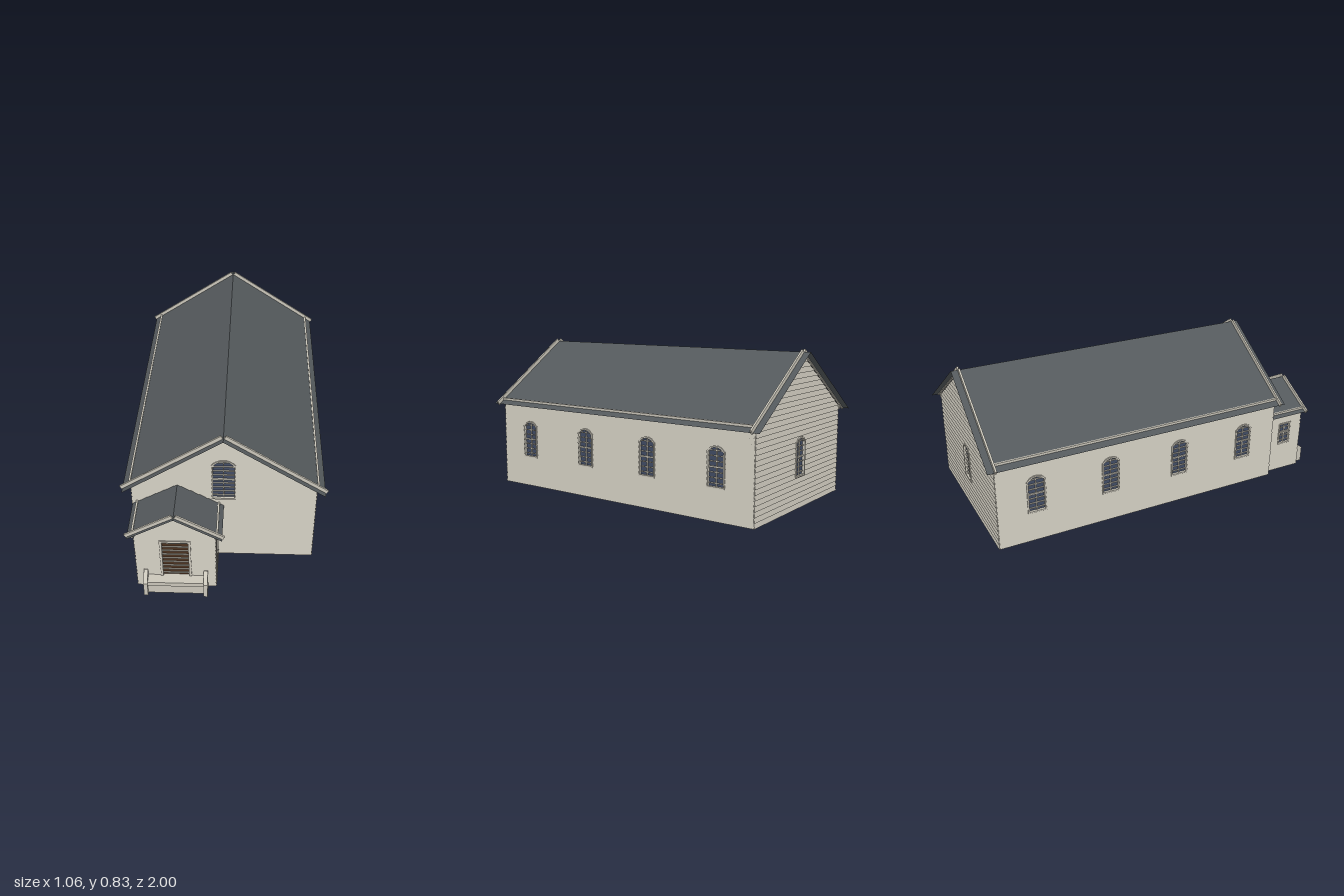
import * as THREE from 'three';

const siding = new THREE.MeshStandardMaterial({ name: 'stone white paint', color: 0xcac6ba });
const slate = new THREE.MeshStandardMaterial({ name: 'slate grey roof', color: 0x54595c, side: THREE.DoubleSide });
const glassBlue = new THREE.MeshStandardMaterial({ name: 'blue glass', color: 0x414c64, side: THREE.DoubleSide });
const doorBrown = new THREE.MeshStandardMaterial({ name: 'brown door', color: 0x4b3220, side: THREE.DoubleSide });

const PITCH = 0.027, LAP = 0.005, THICK = 0.012, BASE = 0.013;

function add(parent, name, geometry, material, x = 0, y = 0, z = 0) {
  const mesh = new THREE.Mesh(geometry, material);
  mesh.name = name;
  mesh.position.set(x, y, z);
  parent.add(mesh);
  return mesh;
}
const box = (parent, name, w, h, d, x, y, z, mat = siding) =>
  add(parent, name, new THREE.BoxGeometry(w, h, d), mat, x, y, z);

function toShape(points, Type = THREE.Shape) {
  return new Type(points.map(([x, y]) => new THREE.Vector2(x, y)));
}
function extrude(shape, depth) {
  return new THREE.ExtrudeGeometry(shape, { depth, bevelEnabled: false });
}

// Outline of an opening (u centre, w half width, y0..y1), grown by g
function openingOutline(o, g = 0) {
  const w = o.w + g, b = o.y0 - g, t = o.y1 + g, a = o.arch ? 0.5 * w : 0;
  const pts = [[o.u - w, b], [o.u + w, b], [o.u + w, t - a]];
  if (a) pts.push([o.u + 0.65 * w, t - 0.3 * a], [o.u + 0.25 * w, t], [o.u - 0.25 * w, t], [o.u - 0.65 * w, t - 0.3 * a]);
  pts.push([o.u - w, t - a]);
  return pts;
}

// Half width of an opening at height y
function openingHalf(o, y) {
  const a = o.arch ? 0.5 * o.w : 0;
  const k = a ? Math.max(0, (y - (o.y1 - a)) / a) : 0;
  return o.w * (k < 0.7 ? 1 - 0.5 * k : 0.65 - 1.33 * (k - 0.7));
}

// Overlapping boards, cut around the openings
function clapboards(halfAt, top, openings) {
  const breaks = [top];
  for (let y = BASE; y < top; y += PITCH) breaks.push(y);
  for (const o of openings) breaks.push(o.y0, o.y1);
  breaks.sort((a, b) => a - b);
  const pos = [];
  const quad = (a, b, c, d) => pos.push(...a, ...b, ...c, ...a, ...c, ...d);
  for (let i = 0; i + 1 < breaks.length; i++) {
    const y0 = breaks[i], y1 = breaks[i + 1];
    if (y1 - y0 < 1e-5) continue;
    const mid = (y0 + y1) / 2;
    const rowStart = BASE + Math.floor((mid - BASE) / PITCH) * PITCH;
    const z0 = LAP * (1 - (y0 - rowStart) / PITCH), z1 = LAP * (1 - (y1 - rowStart) / PITCH);
    const cuts = openings.filter(o => mid > o.y0 && mid < o.y1).sort((a, b) => a.u - b.u);
    const lower = [-halfAt(y0)], upper = [-halfAt(y1)];
    for (const o of cuts) {
      const h = openingHalf(o, mid);
      lower.push(o.u - h, o.u + h);
      upper.push(o.u - h, o.u + h);
    }
    lower.push(halfAt(y0));
    upper.push(halfAt(y1));
    for (let j = 0; j < lower.length; j += 2) {
      const [l0, r0, l1, r1] = [lower[j], lower[j + 1], upper[j], upper[j + 1]];
      quad([l0, y0, z0], [r0, y0, z0], [r1, y1, z1], [l1, y1, z1]);
      quad([l0, y0, 0], [r0, y0, 0], [r0, y0, z0], [l0, y0, z0]);
      quad([l0, y0, 0], [l0, y0, z0], [l1, y1, z1], [l1, y1, 0]);
      quad([r0, y0, z0], [r0, y0, 0], [r1, y1, 0], [r1, y1, z1]);
    }
  }
  const g = new THREE.BufferGeometry();
  g.setAttribute('position', new THREE.Float32BufferAttribute(pos, 3));
  g.computeVertexNormals();
  return g;
}

// Frame, pane and bars of a window or door
function fillOpening(parent, o) {
  const kind = o.door ? 'door' : 'window';
  const ring = toShape(openingOutline(o, o.door ? 0.013 : 0.008));
  ring.holes.push(toShape(openingOutline(o), THREE.Path));
  add(parent, kind + 'Frame', extrude(ring, THICK + 0.008), siding, 0, 0, -THICK);
  add(parent, o.door ? 'doorLeaf' : 'windowGlass', new THREE.ShapeGeometry(toShape(openingOutline(o))),
    o.door ? doorBrown : glassBlue, 0, 0, -0.006);
  for (let y = o.y0 + PITCH * 0.6; y < o.y1 - 0.006; y += PITCH)
    box(parent, kind + 'Bar', 2 * openingHalf(o, y), 0.005, 0.006, o.u, y, -0.002);
  if (o.door) return;
  box(parent, 'windowMullion', 0.005, o.y1 - o.y0, 0.006, o.u, (o.y0 + o.y1) / 2, -0.003);
  box(parent, 'windowMeetingRail', 2 * o.w, 0.008, 0.008, o.u, (o.y0 + o.y1) / 2, -0.002);
}

// One wall facing local +z; a gable when apex is above eave
function wall(parent, name, half, eave, apex, openings, x, z, turn) {
  const g = new THREE.Group();
  g.name = name;
  g.position.set(x, 0, z);
  g.rotation.y = turn;
  parent.add(g);
  const pts = [[-half, BASE], [half, BASE], [half, eave]];
  if (apex > eave) pts.push([0, apex]);
  pts.push([-half, eave]);
  const shape = toShape(pts);
  for (const o of openings) shape.holes.push(toShape(openingOutline(o), THREE.Path));
  add(g, name + 'Panel', extrude(shape, THICK), siding, 0, 0, -THICK);
  const halfAt = y => (y <= eave ? half : half * Math.max(0, (apex - y) / (apex - eave)));
  // an extra break at the eave keeps the gable slope straight
  add(g, name + 'Clapboards', clapboards(halfAt, apex, openings), siding);
  openings.forEach(o => fillOpening(g, o));
}

// Thin pitched roof with raking boards and eave trims
function roof(parent, name, cx, half, ridge, eave, zBack, zFront, boardZs, trimX, trimZ) {
  const length = Math.hypot(half, ridge - eave), angle = Math.atan2(ridge - eave, half);
  for (const s of [-1, 1]) {
    const side = new THREE.Group();
    side.name = name + (s > 0 ? 'LeftSlope' : 'RightSlope');
    side.position.set(cx + s * half / 2, (ridge + eave) / 2, 0);
    side.rotation.z = -s * angle;
    parent.add(side);
    const sheet = new THREE.PlaneGeometry(length, zFront - zBack).rotateX(-Math.PI / 2);
    add(side, name + 'Sheet', sheet, slate, 0, 0, (zFront + zBack) / 2);
    for (const z of boardZs) box(side, name + 'RakeBoard', length, 0.024, 0.01, s * 0.004, 0.007, z);
    const y = ridge - (ridge - eave) * trimX / half;
    box(parent, name + 'EaveTrim', 0.01, 0.034, trimZ[1] - trimZ[0], cx + s * trimX, y - 0.008, (trimZ[0] + trimZ[1]) / 2);
  }
}

export function createModel() {
  const model = new THREE.Group();
  model.name = 'clapboardChapel';

  // Main hall
  const hall = new THREE.Group();
  hall.name = 'hall';
  model.add(hall);
  const X = 0.471, FRONT = 0.705, BACK = -0.955, mid = (FRONT + BACK) / 2;
  const win = u => ({ u, w: 0.043, y0: 0.187, y1: 0.38, arch: true });
  wall(hall, 'frontWall', X, 0.495, 0.81, [{ u: 0, w: 0.054, y0: 0.425, y1: 0.667, arch: true }], 0, FRONT, 0);
  wall(hall, 'backWall', X, 0.495, 0.81, [win(0)], 0, BACK, Math.PI);
  for (const s of [-1, 1]) {
    const windows = [0.5, 0.085, -0.33, -0.745].map(z => win(-s * (z - mid)));
    wall(hall, s > 0 ? 'leftWall' : 'rightWall', (FRONT - BACK) / 2, 0.495, 0.495, windows, s * X, mid, s * Math.PI / 2);
  }
  roof(hall, 'hallRoof', 0, 0.515, 0.82, 0.478, -1, 0.745, [0.71, -0.96], 0.48, [-0.96, 0.71]);

  // Entrance porch
  const porch = new THREE.Group();
  porch.name = 'porch';
  model.add(porch);
  const PX = -0.235, PH = 0.202, PF = 0.935;
  wall(porch, 'porchFront', PH, 0.375, 0.497, [{ u: 0, w: 0.066, y0: 0.09, y1: 0.331, door: true }], PX, PF, 0);
  for (const s of [-1, 1])
    wall(porch, s > 0 ? 'porchLeft' : 'porchRight', (PF - FRONT) / 2, 0.375, 0.375,
      [{ u: 0, w: 0.033, y0: 0.187, y1: 0.306 }], PX + s * PH, (PF + FRONT) / 2, s * Math.PI / 2);
  roof(porch, 'porchRoof', PX, 0.236, 0.507, 0.37, 0.685, 0.96, [0.94], 0.21, [FRONT, 0.94]);

  // Entrance step with sloping cheeks
  const step = new THREE.Group();
  step.name = 'entranceStep';
  model.add(step);
  box(step, 'stepTread', 0.29, 0.026, 0.055, PX, 0.077, 0.963);
  box(step, 'stepRiser', 0.29, 0.056, 0.008, PX, 0.036, 0.982);
  const cheek = toShape([[-1, 0], [-0.935, 0], [-0.935, 0.132], [-0.944, 0.132], [-1, 0.088]]);
  for (const x of [-0.4, -0.094])
    add(step, 'stepCheek', extrude(cheek, 0.021), siding, x, 0, 0).rotation.y = Math.PI / 2;

  return model;
}
